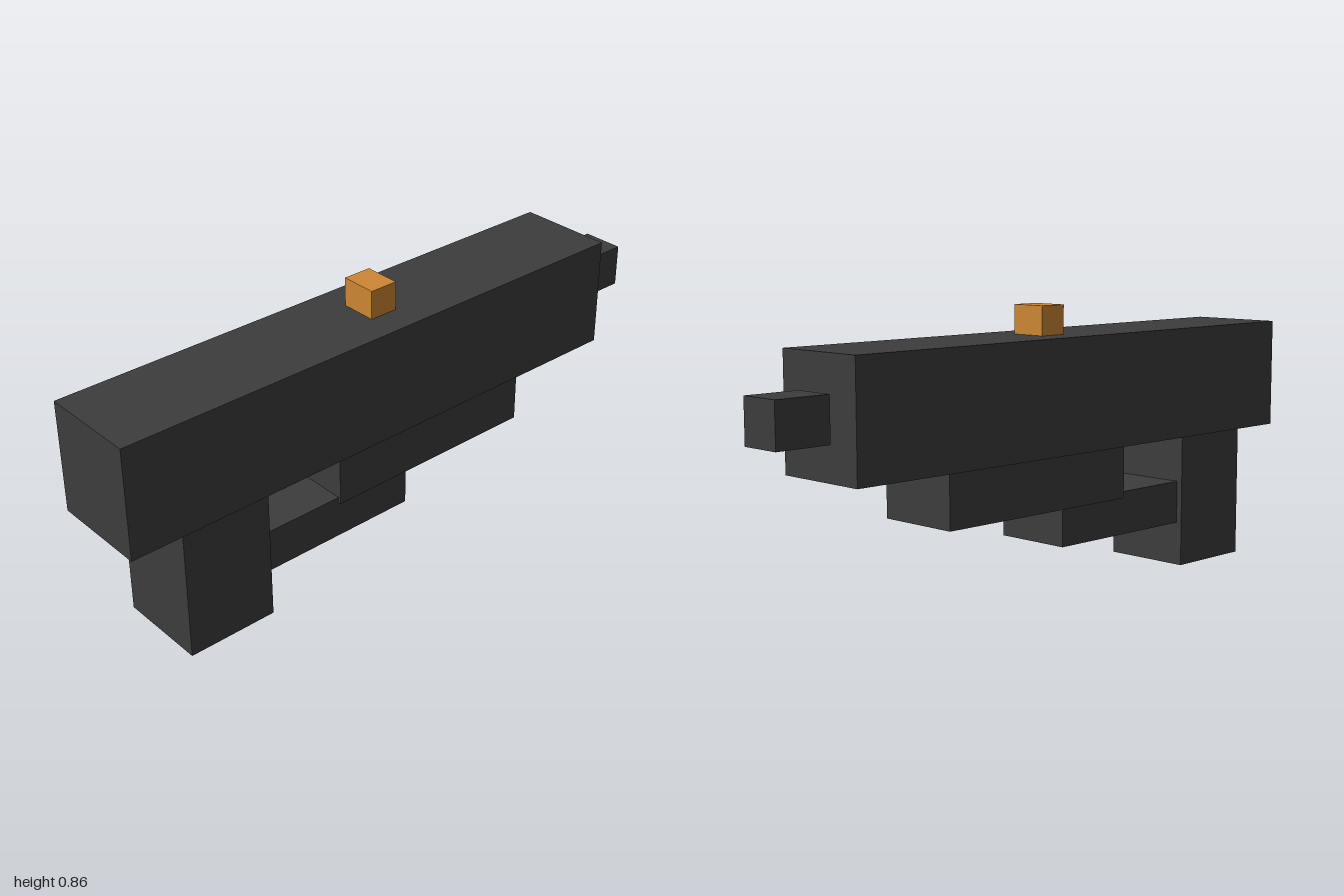
import * as THREE from 'three';

export function createModel() {
  const model = new THREE.Group();
  const darkGrey = new THREE.MeshStandardMaterial({ color: 0x3c3c3c });
  darkGrey.name = 'darkGrey';
  const orange = new THREE.MeshStandardMaterial({ color: 0xcc8633 });
  orange.name = 'orange';

  // Box from its x and y extents and its depth, centred on z = 0
  function block(name, x0, x1, y0, y1, depth, material) {
    const mesh = new THREE.Mesh(new THREE.BoxGeometry(x1 - x0, y1 - y0, depth), material);
    mesh.position.set((x0 + x1) / 2, (y0 + y1) / 2, 0);
    mesh.name = name;
    model.add(mesh);
  }

  block('body', -1, 0.807, 0.422, 0.773, 0.312, darkGrey);
  // The muzzle floats just ahead of the body
  block('muzzle', 0.823, 1, 0.531, 0.666, 0.135, darkGrey);
  block('grip', -0.83, -0.538, 0, 0.422, 0.293, darkGrey);
  block('triggerGuard', -0.538, 0, 0.139, 0.275, 0.255, darkGrey);
  block('foreGrip', -0.267, 0.464, 0.256, 0.422, 0.272, darkGrey);
  block('sight', -0.075, 0.018, 0.773, 0.863, 0.117, orange);

  return model;
}
